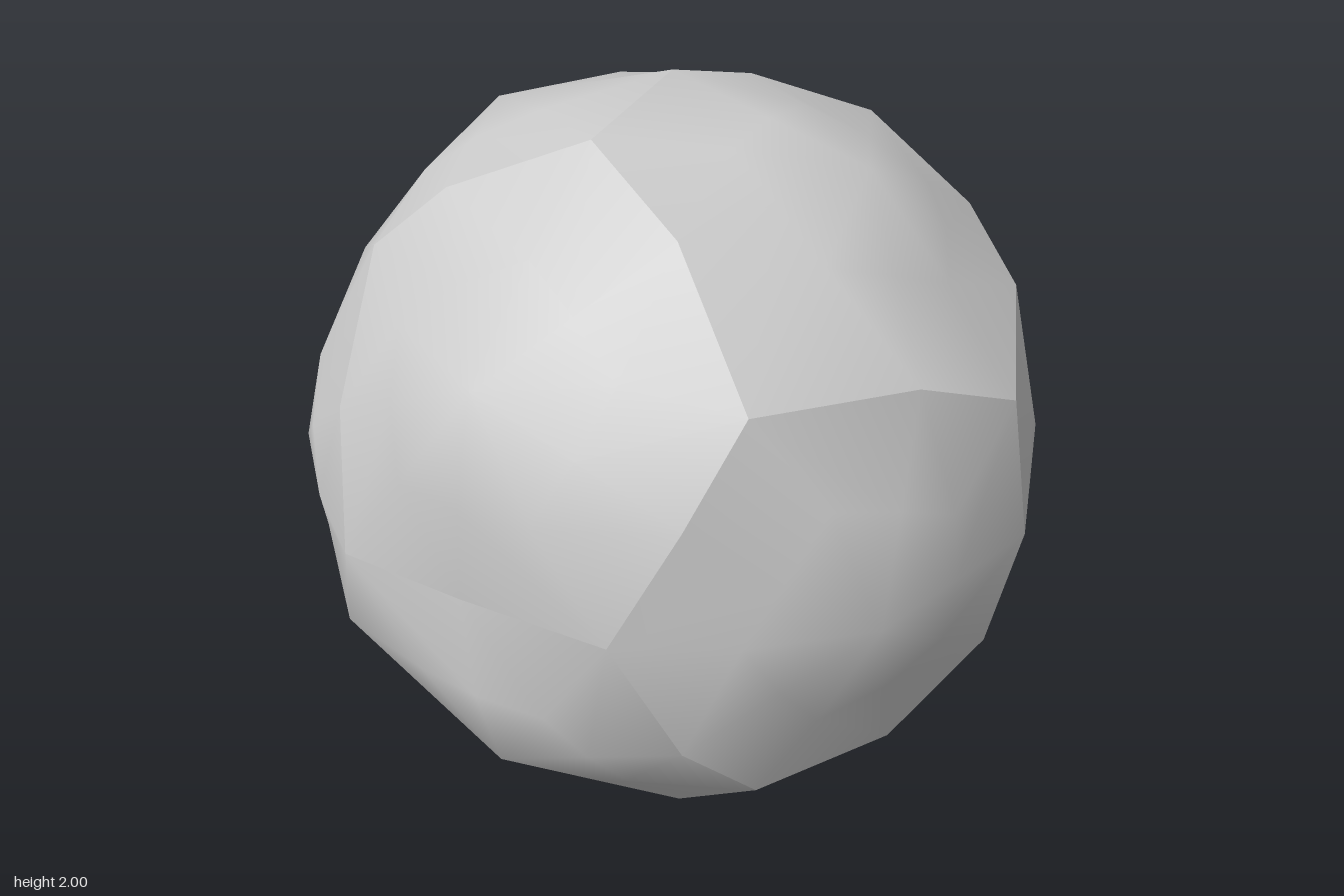
import * as THREE from 'three';
import { mergeVertices } from 'three/addons/utils/BufferGeometryUtils.js';

const CENTER = new THREE.Vector3(0, 1, -0.06);

// Direction from the ball's centre: angle around the z axis (degrees) and depth z
function direction(degrees, z) {
  const a = THREE.MathUtils.degToRad(degrees), r = Math.sqrt(1 - z * z);
  return new THREE.Vector3(r * Math.cos(a), r * Math.sin(a), z);
}

// Panel centres: front, front ring, back ring, back
const NAMES = [
  'frontPanel',
  'frontLeftPanel', 'frontUpperPanel', 'frontUpperRightPanel', 'frontLowerRightPanel', 'frontLowerPanel',
  'backUpperLeftPanel', 'backUpperPanel', 'backRightPanel', 'backLowerPanel', 'backLowerLeftPanel',
  'backPanel',
];
const CENTRES = [direction(0, 1)];
for (const [z, start] of [[0.447, 0], [-0.447, 36]]) {
  for (let k = 0; k < 5; k++) CENTRES.push(direction(start + 72 * k, z));
}
CENTRES.push(direction(0, -1));

// Border points knocked out of place: regular angle and depth, then actual position
const DENTS = [
  [162, 0, -0.9, 0.31, 0], [306, 0, 0.46, -0.82, -0.06], [342, 0, 0.915, -0.28, -0.03],
  [0, -0.188, 0.92, 0, -0.19], [72, -0.188, 0.32, 0.9, -0.17],
  [144, -0.188, -0.72, 0.62, -0.19], [288, -0.188, 0.17, -0.955, -0.19],
  [180, 0.188, -0.955, -0.05, 0.08], [324, 0.188, 0.7, -0.61, 0.19],
  [108, 0.795, -0.25, 0.52, 0.815], [180, 0.795, -0.57, 0, 0.77],
  [180, 0.526, -0.79, 0, 0.45], [0, -0.526, 0.79, 0, -0.52],
  [0, -0.795, 0.49, 0, -0.8], [72, -0.795, 0.19, 0.58, -0.71], [288, -0.795, 0.17, -0.61, -0.71],
].map(([angle, z, ...p]) => ({ dir: direction(angle, z), pos: new THREE.Vector3(...p) }));

// Places a direction on the worn ball; the back is flattened
function place(dir, radius) {
  const dent = DENTS.find((d) => d.dir.distanceTo(dir) < 0.04);
  if (dent) return dent.pos.clone().add(CENTER);
  let r = radius;
  if (dir.z < -0.99) r = 0.88;
  else if (dir.z < -0.9) r = 0.915;
  else if (dir.z < -0.75) r = 0.935;
  else if (dir.z < -0.5) r = Math.min(r, 0.96);
  return dir.clone().multiplyScalar(r).add(CENTER);
}

const mean = (...dirs) => dirs.reduce((s, d) => s.add(d), new THREE.Vector3()).normalize();

// One pentagonal panel: centre, inner ring and border of corners and edge middles
function panelGeometry(c) {
  const near = CENTRES.filter((d) => d !== c && d.dot(c) > 0.4);
  const u = near[0].clone().addScaledVector(c, -near[0].dot(c)).normalize();
  const v = c.clone().cross(u);
  const angle = (d) => Math.atan2(d.dot(v), d.dot(u));
  near.sort((a, b) => angle(a) - angle(b));
  const border = near.flatMap((n, i) => [mean(c, n), mean(c, n, near[(i + 1) % 5])]);

  const middle = place(c, 1);
  const outer = border.map((d) => place(d, 1));
  const inner = border.map((d) => place(mean(c, d), 0.962));
  const points = [];
  for (let i = 0; i < 10; i++) {
    const j = (i + 1) % 10;
    points.push(middle, inner[i], inner[j]);
    points.push(inner[i], outer[i], outer[j], inner[i], outer[j], inner[j]);
  }
  const geometry = mergeVertices(new THREE.BufferGeometry().setFromPoints(points), 1e-3);
  geometry.computeVertexNormals();
  return geometry;
}

export function createModel() {
  const group = new THREE.Group();
  group.name = 'facetedBall';
  const material = new THREE.MeshStandardMaterial({ color: 0xcccccc });
  // Each panel is smooth inside and creased at its border
  CENTRES.forEach((c, i) => {
    const mesh = new THREE.Mesh(panelGeometry(c), material);
    mesh.name = NAMES[i];
    group.add(mesh);
  });
  return group;
}
